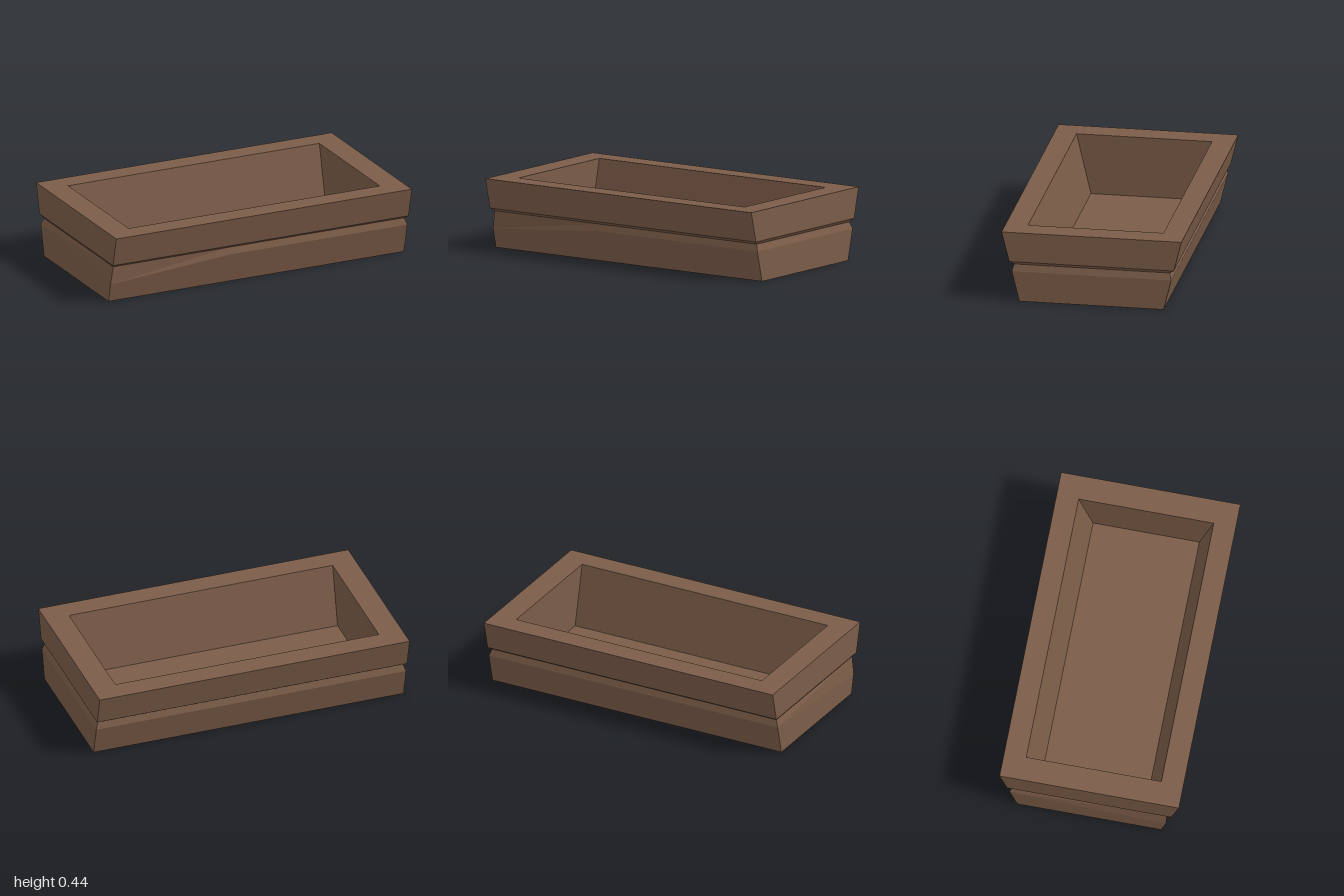
import * as THREE from 'three';

// Five-point ring, front-left corner first, running along the front; droop lowers that corner.
function ring(x, y, z, droop = 0) {
  return [
    [-x, y - droop, z - droop * 0.25],
    [-0.2 * x, y, z],
    [x, y, z],
    [x, y, -z],
    [-x, y, -z],
  ];
}

// Flat faces between successive rings
function skin(rings) {
  const pos = [];
  for (let r = 0; r < rings.length - 1; r++) {
    const low = rings[r], high = rings[r + 1];
    for (let i = 0; i < low.length; i++) {
      const j = (i + 1) % low.length;
      pos.push(...low[i], ...low[j], ...high[j], ...low[i], ...high[j], ...high[i]);
    }
  }
  return pos;
}

// Flat cap over one ring, facing up or down
function cap(points, up) {
  const pos = [];
  for (let i = 2; i < points.length - 1; i++) {
    const tri = [points[0], points[i], points[i + 1]];
    if (!up) tri.reverse();
    pos.push(...tri.flat());
  }
  return pos;
}

export function createModel() {
  const group = new THREE.Group();
  group.name = 'planterBox';
  const brown = new THREE.MeshStandardMaterial({ color: 0x7b5c48 });
  brown.name = 'brown';

  const add = (name, positions) => {
    const geometry = new THREE.BufferGeometry();
    geometry.setAttribute('position', new THREE.Float32BufferAttribute(positions, 3));
    geometry.computeVertexNormals();
    const mesh = new THREE.Mesh(geometry, brown);
    mesh.name = name;
    group.add(mesh);
  };

  const foot = ring(1, 0, 0.445);
  const ridge = ring(1, 0.19, 0.492, 0.07);
  const groove = ring(0.985, 0.233, 0.48);
  const bandBottom = ring(1, 0.252, 0.508);
  const rimOuter = ring(1, 0.44, 0.555);
  const rimInner = ring(0.85, 0.44, 0.418);
  const floor = ring(0.85, 0.06, 0.329);

  // Tapered lower body with its underside
  add('base', [...cap(foot, false), ...skin([foot, ridge])]);
  // Notch running round the box
  add('groove', skin([ridge, groove, bandBottom]));
  // Upper band and flat lip
  add('rim', skin([bandBottom, rimOuter, rimInner]));
  // Hollow inside
  add('basin', [...skin([rimInner, floor]), ...cap(floor, true)]);

  return group;
}
